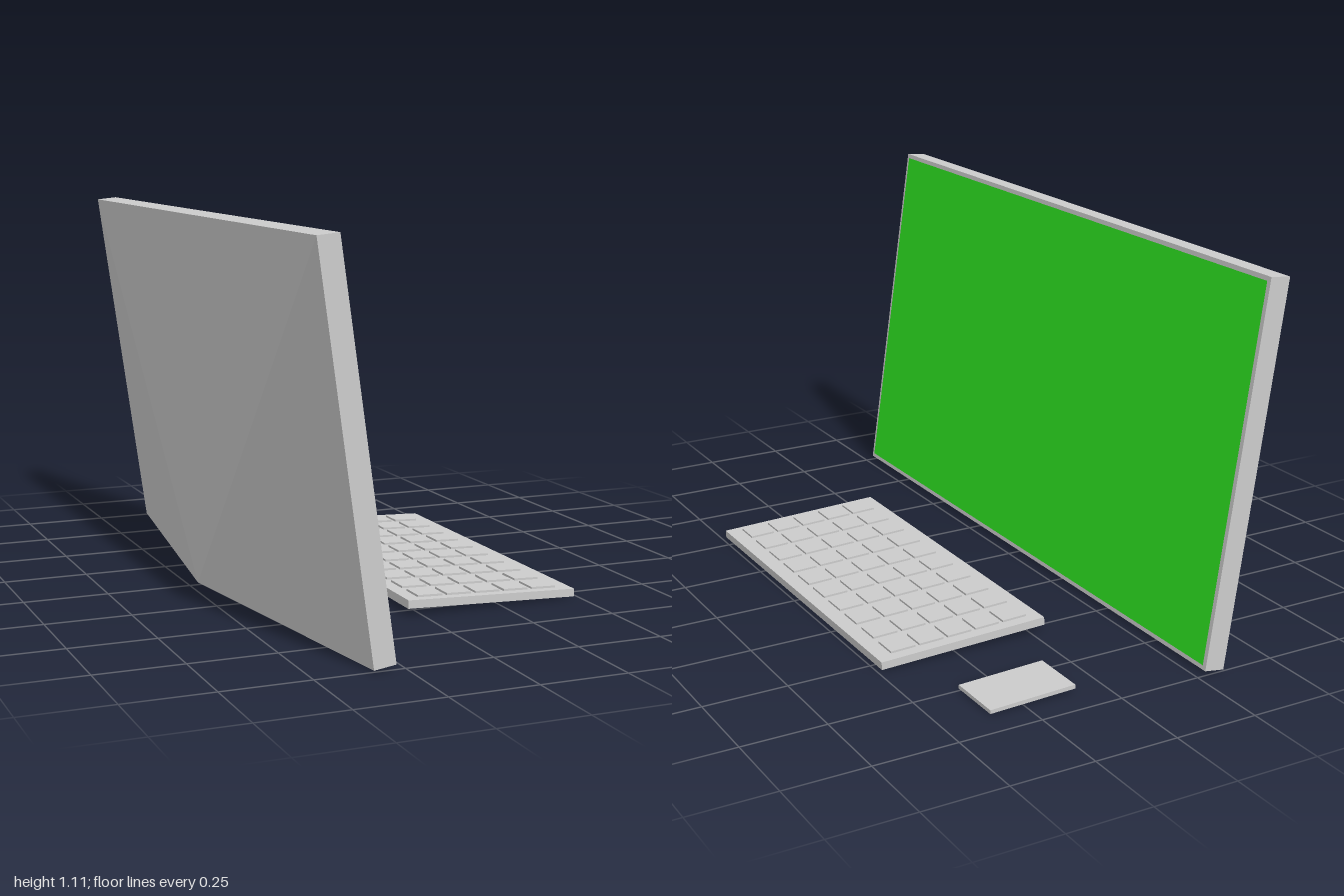
import * as THREE from 'three';
import { ConvexGeometry } from 'three/addons/geometries/ConvexGeometry.js';

const grey = new THREE.MeshStandardMaterial({ color: 0xcccccc, flatShading: true });
const green = new THREE.MeshStandardMaterial({ color: 0x2fe621, side: THREE.DoubleSide });

// Slab extruded along z from an x-y profile, with one face drawn out to a shallow point
function pointedSlab(name, profile, z0, z1, apex) {
  const points = [new THREE.Vector3(...apex)];
  for (const [x, y] of profile) {
    for (const z of [z0, z1]) points.push(new THREE.Vector3(x, y, z));
  }
  const mesh = new THREE.Mesh(new ConvexGeometry(points), grey);
  mesh.name = name;
  return mesh;
}

function createMonitor() {
  const monitor = new THREE.Group();
  monitor.name = 'monitor';
  // Leaning casing whose back swells to a point at the foot
  const top = new THREE.Vector2(-0.428, 1.106);
  const foot = new THREE.Vector2(-0.275, 0.013);
  monitor.add(pointedSlab('monitorCasing',
    [[-0.49, 1.1], top.toArray(), foot.toArray(), [-0.337, 0.004]], -1, 1, [-0.475, 0.007, 0]));

  // Coloured display, leaving a thin bezel
  const height = top.distanceTo(foot);
  const lean = Math.atan2(foot.x - top.x, top.y - foot.y);
  const display = new THREE.Mesh(new THREE.PlaneGeometry(1.975, height - 0.026), green);
  display.name = 'display';
  display.rotation.set(0, Math.PI / 2, 0);
  const tilt = new THREE.Group();
  tilt.name = 'displayTilt';
  tilt.rotation.z = lean;
  tilt.position.set((top.x + foot.x) / 2, (top.y + foot.y) / 2, 0);
  display.position.x = 0.0015;
  tilt.add(display);
  monitor.add(tilt);
  return monitor;
}

function createKeyboard() {
  const keyboard = new THREE.Group();
  keyboard.name = 'keyboard';
  const x0 = -0.04, x1 = 0.487, y0 = 0.045, y1 = 0.026;
  keyboard.add(pointedSlab('keyboardBase',
    [[x0, y0], [x1, y1], [x1 - 0.001, 0.003], [x0 - 0.001, 0.021]], -0.545, 0.557, [0.02, 0, 0]));

  // Five by ten grid of square keys following the slope of the deck
  const slope = (y1 - y0) / (x1 - x0);
  const keyGeometry = new THREE.BoxGeometry(0.077, 0.012, 0.077);
  for (let col = 0; col < 5; col++) {
    for (let row = 0; row < 10; row++) {
      const x = 0.039 + col * 0.0905;
      const key = new THREE.Mesh(keyGeometry, grey);
      key.name = 'key';
      key.position.set(x, y0 + slope * (x - x0), -0.472 + row * 0.107);
      key.rotation.z = Math.atan(slope);
      keyboard.add(key);
    }
  }
  return keyboard;
}

export function createModel() {
  const model = new THREE.Group();
  model.name = 'desktopComputer';
  model.add(createMonitor(), createKeyboard());
  // Thin sloping mouse
  model.add(pointedSlab('mouse',
    [[0.09, 0.023], [0.355, 0.013], [0.355, 0.002], [0.09, 0.011]], -0.91, -0.742, [0.12, 0, -0.826]));
  return model;
}
